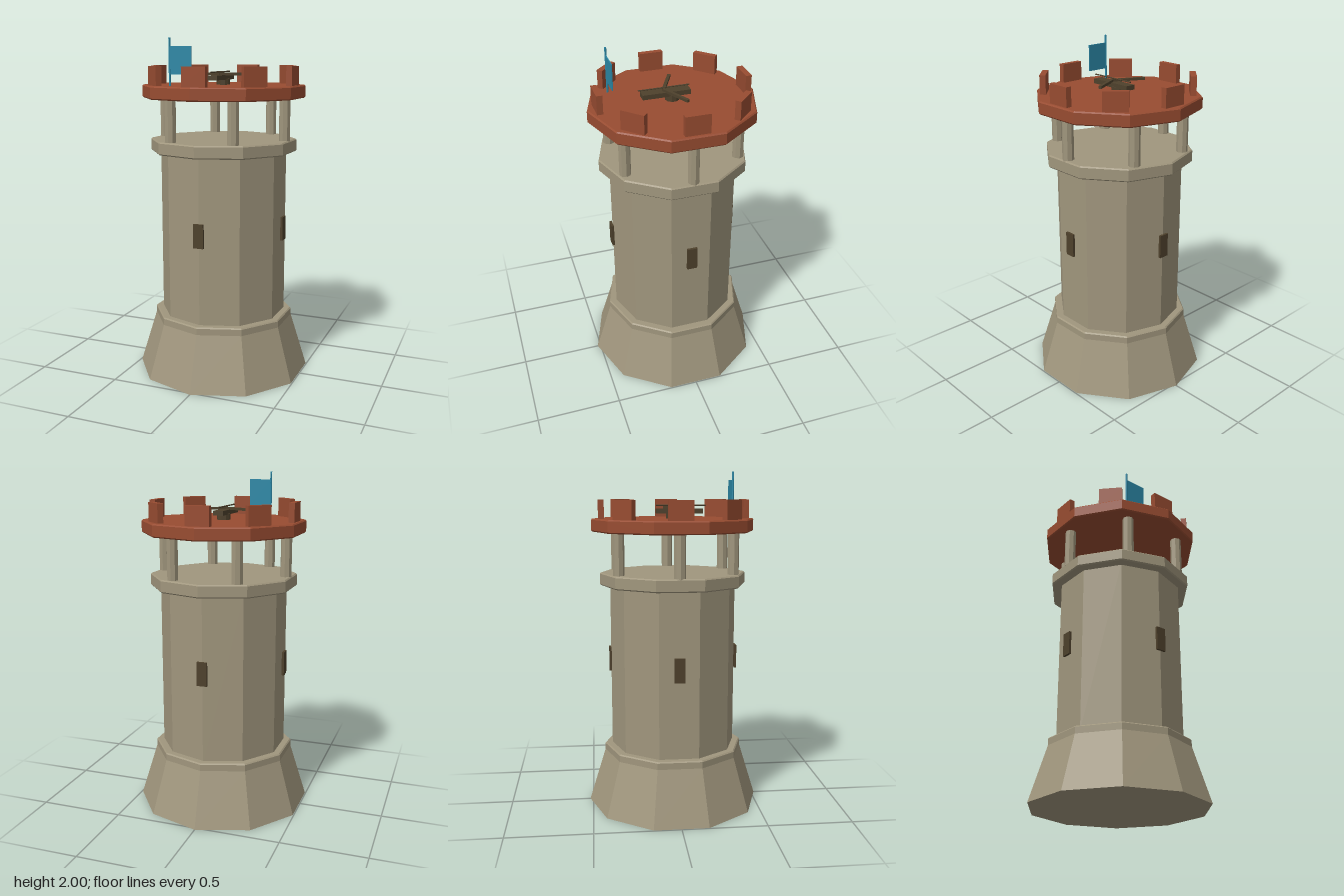
import * as THREE from 'three';

const flat = (name, color) => {
  const m = new THREE.MeshStandardMaterial({ color, flatShading: true });
  m.name = name;
  return m;
};

export function createModel() {
  const stone = flat('stone', 0xa0967d);
  const brick = flat('redBrick', 0x984c31);
  const wood = flat('darkWood', 0x4e412c);
  const blue = flat('flagBlue', 0x2b88a6);

  const tower = new THREE.Group();
  tower.name = 'watchtower';

  const add = (name, geometry, material, x = 0, y = 0, z = 0, turn = 0, parent = tower) => {
    const mesh = new THREE.Mesh(geometry, material);
    mesh.name = name;
    mesh.position.set(x, y, z);
    mesh.rotation.y = turn;
    parent.add(mesh);
    return mesh;
  };

  // Ten-sided slab with small chamfers on both rims
  const slab = (r, y0, y1, c = 0.007) => new THREE.LatheGeometry([
    [0, y0], [r - c, y0], [r, y0 + c], [r, y1 - c], [r - c, y1], [0, y1],
  ].map(([x, y]) => new THREE.Vector2(x, y)), 10);

  // Stone shaft
  add('flaredBase', new THREE.CylinderGeometry(0.42, 0.52, 0.325, 10), stone, 0, 0.1625);
  add('baseRing', slab(0.42, 0.315, 0.37), stone);
  add('shaft', new THREE.CylinderGeometry(0.375, 0.375, 1.01, 10), stone, 0, 0.855);
  add('collar', slab(0.435, 1.345, 1.42), stone);

  // Windows on the four sides
  for (let i = 0; i < 4; i++) {
    const a = i * Math.PI / 2;
    add('window', new THREE.BoxGeometry(0.06, 0.14, 0.014), wood,
      Math.sin(a) * 0.38, 0.9, Math.cos(a) * 0.38, a);
  }

  // Pillars carrying the roof platform
  for (let i = 0; i < 6; i++) {
    const a = i * Math.PI / 3;
    add('pillar', new THREE.CylinderGeometry(0.033, 0.033, 0.25, 8), stone,
      Math.cos(a) * 0.38, 1.54, Math.sin(a) * 0.38);
  }

  // Platform and battlements
  add('roofPlatform', slab(0.482, 1.66, 1.735), brick);
  for (let i = 0; i < 8; i++) {
    const a = i * Math.PI / 4;
    add('merlon', new THREE.BoxGeometry(0.14, 0.115, 0.034), brick,
      Math.sin(a) * 0.423, 1.7875, Math.cos(a) * 0.423, a);
  }

  // Mounted crossbow
  const crossbow = new THREE.Group();
  crossbow.name = 'crossbow';
  tower.add(crossbow);
  add('mount', new THREE.CylinderGeometry(0.04, 0.04, 0.04, 10), wood, 0, 1.752, 0, 0, crossbow);
  add('stock', new THREE.BoxGeometry(0.06, 0.027, 0.275), wood, 0, 1.778, 0.038, 0, crossbow);
  add('bolt', new THREE.CylinderGeometry(0.004, 0.004, 0.295, 6).rotateX(Math.PI / 2), wood,
    0, 1.81, 0.047, 0, crossbow);
  for (const s of [-1, 1]) {
    add('bowArm', new THREE.BoxGeometry(0.195, 0.015, 0.018), wood,
      s * 0.086, 1.797, 0.007, s * 0.46, crossbow);
  }

  // Flag
  add('flagPole', new THREE.CylinderGeometry(0.006, 0.006, 0.27, 8), blue, -0.194, 1.865, 0.32);
  add('flag', new THREE.BoxGeometry(0.132, 0.155, 0.006), blue, -0.127, 1.877, 0.32);

  return tower;
}
